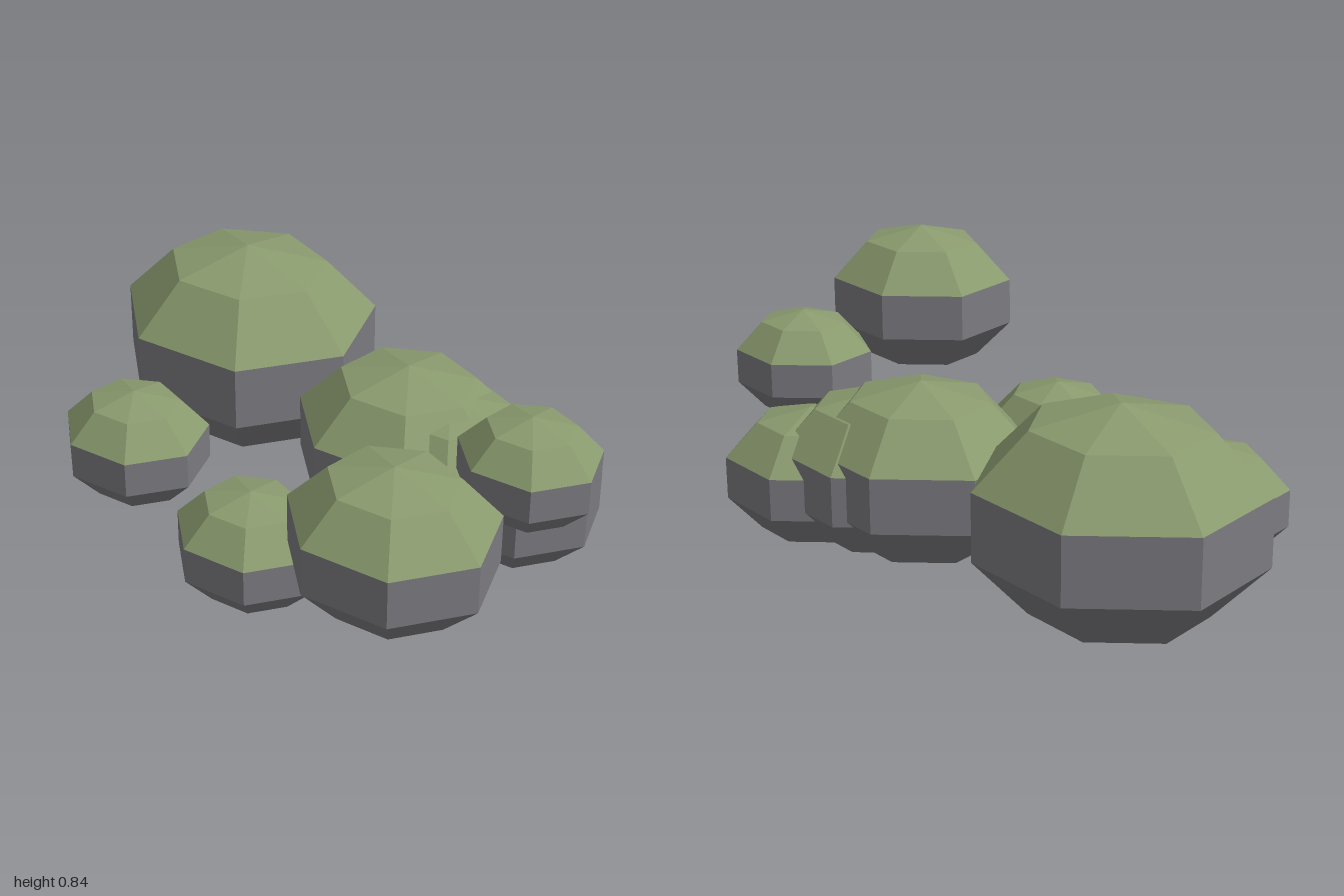
import * as THREE from 'three';

// Each boulder: name, centre x, y, z and its half width
const BOULDERS = [
  ['largeBoulder', -0.55, 0.367, -0.442, 0.485],
  ['middleBoulder', 0.22, 0.307, -0.237, 0.4],
  ['overlappingBoulder', 0.374, 0.28, -0.241, 0.361],
  ['backLeftBoulder', 0.61, 0.237, -0.274, 0.305],
  ['raisedSmallBoulder', 0.765, 0.522, -0.043, 0.246],
  ['raisedFrontBoulder', 0.657, 0.59, 0.59, 0.342],
  ['frontBoulder', 0.037, 0.217, 0.404, 0.269],
  ['lowBoulder', 0.417, 0.202, 0.178, 0.248],
  ['rightBoulder', -0.626, 0.21, 0.128, 0.271],
];

const SIDES = 7;
const RINGS = 5;
const MOSS_RINGS = 2;

export function createModel() {
  const group = new THREE.Group();
  group.name = 'mossyBoulders';
  const moss = new THREE.MeshStandardMaterial({ color: 0x8a9a6e, flatShading: true });
  const stone = new THREE.MeshStandardMaterial({ color: 0x7b7b80, flatShading: true });

  // A band of a seven-sided sphere, with one corner pointing straight back
  const band = (first, count) => new THREE.SphereGeometry(
    1, SIDES, count, -Math.PI / 2, Math.PI * 2,
    (first * Math.PI) / RINGS, (count * Math.PI) / RINGS,
  );
  const capGeometry = band(0, MOSS_RINGS);
  const bodyGeometry = band(MOSS_RINGS, RINGS - MOSS_RINGS);

  for (const [name, x, y, z, r] of BOULDERS) {
    const boulder = new THREE.Group();
    boulder.name = name;
    // Squashed stone with a moss cap on top
    const cap = new THREE.Mesh(capGeometry, moss);
    cap.name = 'mossCap';
    const body = new THREE.Mesh(bodyGeometry, stone);
    body.name = 'stoneBody';
    boulder.add(cap, body);
    boulder.scale.set(r, r * 0.75, r * 0.9);
    boulder.position.set(x, y, z);
    group.add(boulder);
  }
  return group;
}
